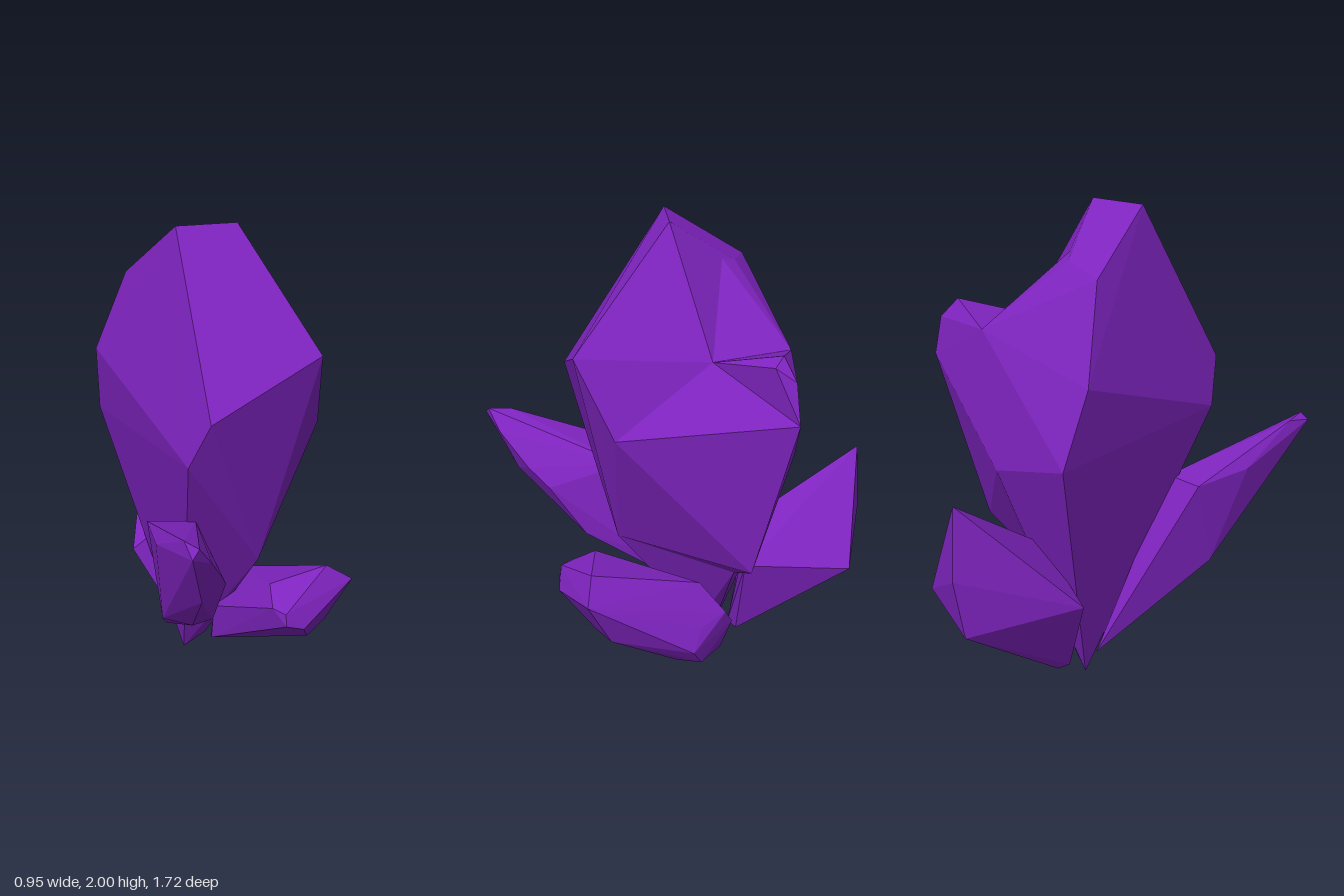
import * as THREE from 'three';
import { ConvexGeometry } from 'three/addons/geometries/ConvexGeometry.js';

const violet = new THREE.MeshStandardMaterial({ color: 0x7f24c0 });
violet.name = 'violetCrystal';

// A faceted crystal: flat faces wrapped around its corner points
function crystal(name, corners) {
  const points = corners.map(([x, y, z]) => new THREE.Vector3(x, y, z));
  const mesh = new THREE.Mesh(new ConvexGeometry(points), violet);
  mesh.name = name;
  return mesh;
}

// Corners shared by the fused pieces of the central crystal
const crown = [-0.08, 1.83, -0.22];
const crownBack = [-0.14, 1.81, -0.27];
const leftShoulder = [0.25, 1.52, -0.2];
const backShoulder = [0.12, 1.53, -0.5];
const rightShoulder = [-0.48, 1.43, -0.43];
const leftWaist = [0.33, 1.21, 0.17];
const rightWaist = [-0.46, 1.13, -0.53];
const frontWaist = [-0.27, 1.14, 0.37];
const backWaist = [-0.03, 1.0, -0.55];
const knobSide = [0.46, 1.36, -0.53];
const frontHip = [0.07, 0.63, 0.2];
const leftHip = [0.33, 0.63, -0.38];
const underside = [0.13, 0.5, -0.31];

export function createModel() {
  const group = new THREE.Group();
  group.name = 'crystalCluster';

  // Tall central crystal, built from pieces that meet in shallow valleys
  const main = new THREE.Group();
  main.name = 'mainCrystal';
  main.add(
    crystal('mainFront', [
      [-0.22, 2.0, 0.02], [0.04, 2.0, -0.02],
      [0.28, 1.53, 0.33], [-0.2, 1.33, 0.45], [-0.36, 1.78, -0.3],
      crown, crownBack, leftShoulder, rightShoulder, leftWaist, rightWaist,
      frontWaist, backWaist, frontHip, leftHip, underside,
    ]),
    crystal('mainBack', [
      [-0.36, 1.78, -0.3], crown, crownBack, leftShoulder, backShoulder,
      rightShoulder, rightWaist, backWaist, leftHip, underside,
    ]),
    crystal('mainRoot', [
      frontWaist, rightWaist, backWaist, frontHip, underside,
      [-0.16, 0, -0.22], [-0.07, 0.1, -0.16],
    ]),
    crystal('shoulder', [
      leftShoulder, backShoulder, leftWaist, knobSide, leftHip, backWaist,
    ]),
    crystal('shoulderKnob', [
      leftShoulder, backShoulder, knobSide,
      [0.37, 1.6, -0.46], [0.42, 1.57, -0.43], [0.43, 1.52, -0.51],
    ]),
  );

  group.add(
    main,
    // Long blade leaning forward
    crystal('frontShard', [
      [-0.38, 1.0, 0.86], [-0.35, 1.03, 0.84], [-0.38, 1.02, 0.74],
      [-0.29, 0.94, 0.78], [-0.31, 0.75, 0.71], [-0.21, 0.8, 0.64],
      [-0.17, 0.72, 0.54], [-0.42, 0.88, 0.45], [-0.4, 0.86, 0.19],
      [-0.2, 0.84, 0.2], [-0.18, 0.48, 0.38], [-0.28, 0.5, 0.44],
      [-0.37, 0.47, 0.3], [-0.24, 0.14, -0.22], [-0.18, 0.2, -0.12],
      [-0.17, 0.4, 0.12],
    ]),
    // Broad shard leaning backward
    crystal('backShard', [
      [-0.18, 0.98, -0.83], [-0.2, 0.68, -0.86],
      [0.08, 0.51, -0.81], [-0.2, 0.42, -0.82],
      [-0.36, 0.47, -0.37], [0.03, 0.47, -0.36], [-0.1, 0.65, -0.38],
      [-0.11, 0.03, -0.33], [-0.14, 0.05, -0.29],
    ]),
    // Stubby crystal lying low at the front
    crystal('lowCrystal', [
      [0.09, 0.56, 0.3], [0.07, 0.5, 0.4], [0.35, 0.6, 0.28],        // outer end
      [0.47, 0.52, 0.28], [0.38, 0.29, 0.2], [0.27, 0.27, 0.28],
      [0.11, 0.44, 0.46], [0.11, 0.49, 0.45], [0.19, 0.41, 0.45],
      [-0.07, 0.32, 0], [-0.07, 0.13, -0.05], [-0.03, 0.06, -0.2],   // underside
      [0.24, 0.1, -0.07],
      [0.25, 0.1, -0.18], [0.32, 0.2, -0.15], [0.24, 0.28, -0.18],   // inner end
      [0.13, 0.29, -0.28], [0.07, 0.2, -0.31], [0.09, 0.07, -0.26],
      [0.1, 0.42, -0.16],
    ]),
  );
  return group;
}
